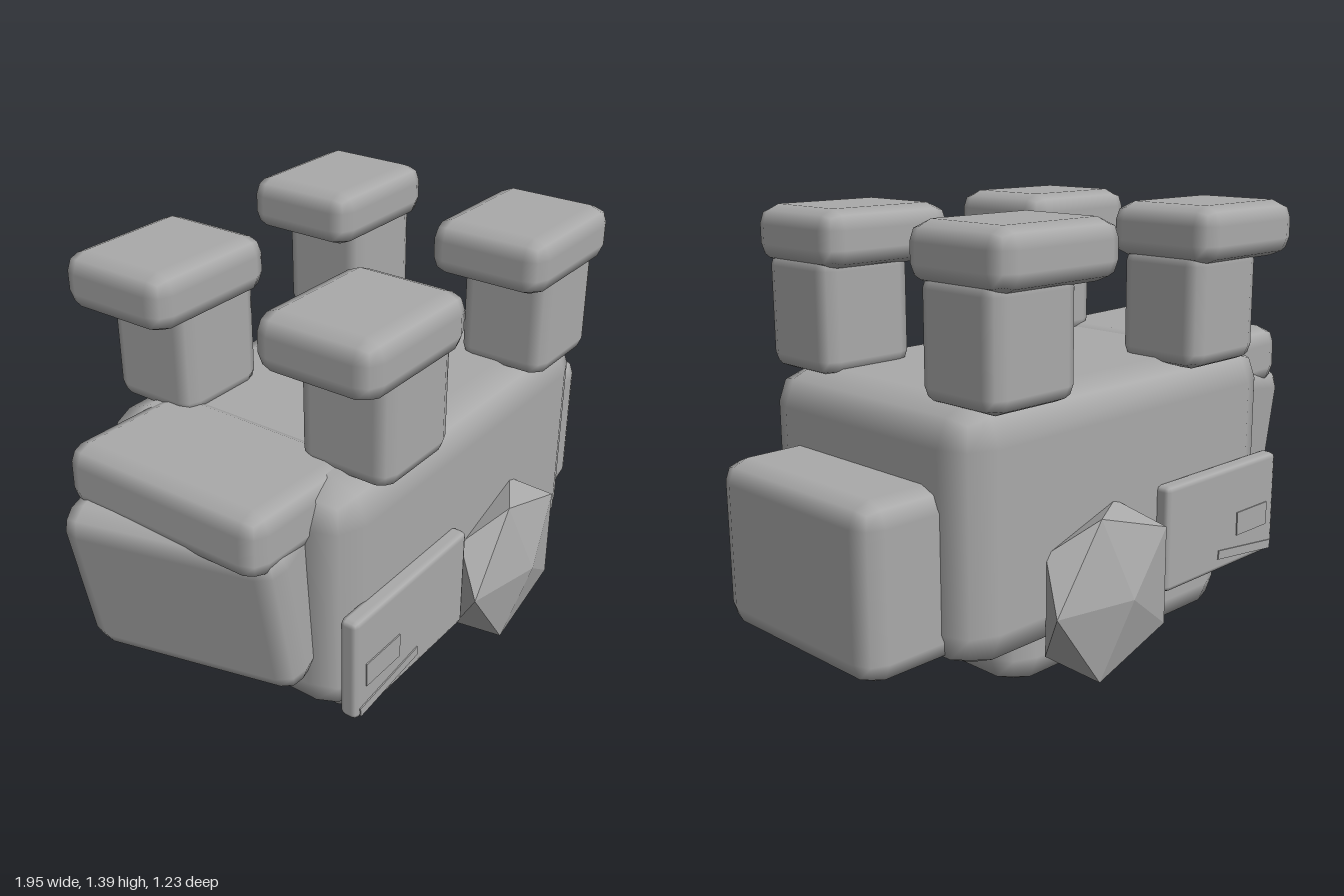
import * as THREE from 'three';
import { RoundedBoxGeometry } from 'three/addons/geometries/RoundedBoxGeometry.js';

export function createModel() {
  const model = new THREE.Group();
  model.name = 'blockyModel';
  const grey = new THREE.MeshStandardMaterial({ color: 0xaaaaaa });
  grey.name = 'plainGrey';

  function add(name, geometry, x, y, z) {
    const mesh = new THREE.Mesh(geometry, grey);
    mesh.name = name;
    mesh.position.set(x, y, z);
    model.add(mesh);
    return mesh;
  }

  // Softly bevelled box given by its lower and upper limits
  function block(name, [x0, x1], [y0, y1], [z0, z1], radius) {
    const g = new RoundedBoxGeometry(x1 - x0, y1 - y0, z1 - z0, 1, radius);
    return add(name, g, (x0 + x1) / 2, (y0 + y1) / 2, (z0 + z1) / 2);
  }

  // Main body, base slab and end block
  block('body', [-0.66, 0.74], [0.13, 0.91], [-0.47, 0.47], 0.12);
  block('base', [-0.51, 0.52], [0, 0.25], [-0.42, 0.42], 0.1);
  block('endBlock', [0.55, 0.995], [0.155, 0.68], [-0.355, 0.355], 0.07);

  // Upper block at the other end, tipped slightly
  const upper = block('upperBlock', [-0.885, -0.4], [0.72, 0.925], [-0.36, 0.36], 0.06);
  upper.rotation.z = -0.02;

  // Skewed block hanging below it
  const skewed = add('skewedBlock', new RoundedBoxGeometry(0.46, 0.53, 0.72, 1, 0.07), -0.645, 0.545, -0.015);
  skewed.rotation.set(-0.05, 0.21, 0.165, 'YZX');

  // Four posts with wide caps
  for (const side of [1, -1]) {
    for (const [post, cap] of [[[-0.51, -0.18], [-0.65, -0.17]], [[0.345, 0.68], [0.205, 0.69]]]) {
      const span = (a, b) => (side > 0 ? [a, b] : [-b, -a]);
      block('post', post, [0.885, 1.26], span(0.205, 0.515), 0.05);
      block('postCap', cap, [1.215, 1.395], span(0.16, 0.558), 0.06);
    }
  }

  // Faceted flattened gems: one point of the solid faces outward
  const gem = new THREE.IcosahedronGeometry(0.27 / 0.894, 0);
  gem.rotateX(Math.atan(2 / (1 + Math.sqrt(5))));
  gem.rotateZ(-Math.PI / 2);
  gem.scale(1, 1, 0.107 / 0.302);
  gem.computeVertexNormals();

  for (const side of [1, -1]) {
    add('sideGem', gem, 0.21, 0.277, side * 0.508);

    // Side panel with two thin raised details
    add('sidePanel', new RoundedBoxGeometry(0.59, 0.35, 0.06, 1, 0.018), -0.36, 0.362, side * 0.487);
    add('panelPlate', new THREE.BoxGeometry(0.17, 0.08, 0.006), -0.52, 0.33, side * 0.518);
    const strip = add('panelStrip', new THREE.BoxGeometry(0.3, 0.03, 0.006), -0.485, 0.228, side * 0.518);
    strip.rotation.z = 0.12;
  }

  return model;
}
